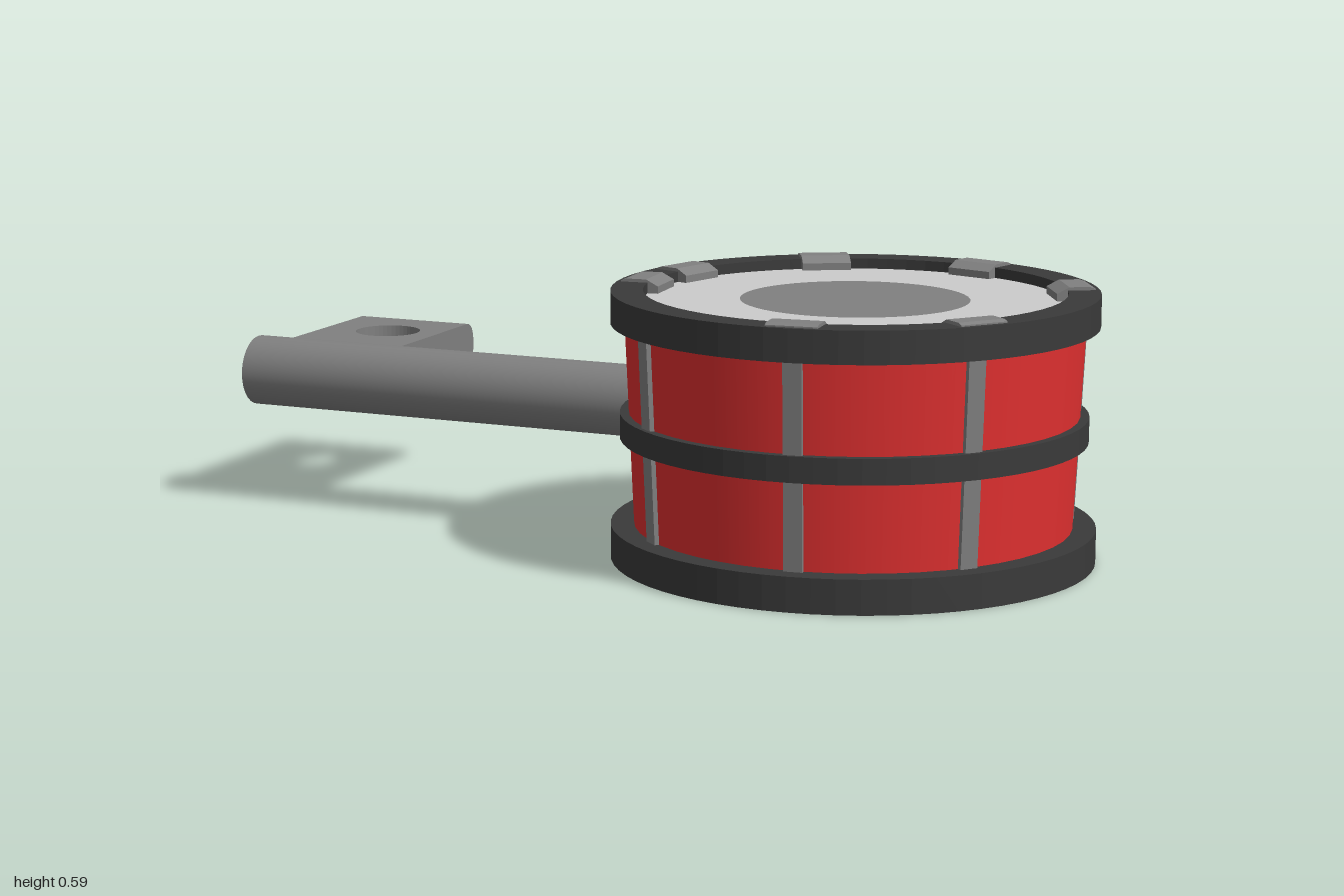
import * as THREE from 'three';

const mat = (color, extra = {}) => new THREE.MeshStandardMaterial({ color, ...extra });
const BLACK = mat(0x3a3a3a), RED = mat(0xe03030, { side: THREE.DoubleSide });
const STEEL = mat(0x808080), SKIN = mat(0xcccccc);
const rad = THREE.MathUtils.degToRad;

export function createModel() {
  const model = new THREE.Group();
  const drum = new THREE.Group();
  drum.name = 'drum';
  drum.position.x = 0.475;
  model.add(drum);

  const add = (parent, name, geometry, material, x = 0, y = 0, z = 0) => {
    const mesh = new THREE.Mesh(geometry, material);
    mesh.name = name;
    mesh.position.set(x, y, z);
    parent.add(mesh);
    return mesh;
  };

  // Flat ring with sharp edges, standing upright from y0 to y1
  const hoop = (name, inner, outer, y0, y1) => {
    const shape = new THREE.Shape().absarc(0, 0, outer, 0, Math.PI * 2);
    shape.holes.push(new THREE.Path().absarc(0, 0, inner, 0, Math.PI * 2, true));
    const geo = new THREE.ExtrudeGeometry(shape, { depth: y1 - y0, bevelEnabled: false, curveSegments: 32 });
    geo.rotateX(-Math.PI / 2);
    add(drum, name, geo, BLACK, 0, y0);
  };
  hoop('bottomHoop', 0.455, 0.525, 0, 0.075);
  hoop('middleBand', 0.47, 0.505, 0.265, 0.32);
  hoop('topHoop', 0.455, 0.525, 0.515, 0.585);

  // Tapered shell
  add(drum, 'shell', new THREE.CylinderGeometry(0.495, 0.474, 0.46, 48, 1, true), RED, 0, 0.295);

  // Heads
  const disc = (name, r, y, material, up) =>
    add(drum, name, new THREE.CircleGeometry(r, 48).rotateX(up * -Math.PI / 2), material, 0, y);
  disc('topHead', 0.46, 0.562, SKIN, 1);
  disc('headPatch', 0.247, 0.565, STEEL, 1);
  disc('bottomHead', 0.46, 0.06, STEEL, -1);

  // Tension rods leaning with the shell
  for (const a of [131, 84, 40, -29, -75, -119, -165]) {
    const rod = new THREE.Group();
    rod.name = 'tensionRod';
    rod.rotation.y = -rad(a);
    drum.add(rod);
    add(rod, 'rod', new THREE.BoxGeometry(0.024, 0.46, 0.04), STEEL, 0.482, 0.295).rotation.z = -0.046;
  }

  // Clips hooked over the top hoop: profile in radius and height
  const clipShape = new THREE.Shape([
    [0.512, 0.555], [0.512, 0.588], [0.5, 0.592], [0.455, 0.592], [0.428, 0.578], [0.428, 0.555],
  ].map(([r, y]) => new THREE.Vector2(r, y)));
  const clipGeo = new THREE.ExtrudeGeometry(clipShape, { depth: 0.11, bevelEnabled: false });
  clipGeo.translate(0, 0, -0.055);
  for (const a of [84, 39, -29, -74, -119, -163, 175]) {
    add(drum, 'hoopClip', clipGeo, STEEL).rotation.y = -rad(a);
  }

  // Round arm
  const arm = new THREE.CylinderGeometry(0.08, 0.08, 1.02, 32).rotateZ(Math.PI / 2);
  add(model, 'arm', arm, STEEL, -0.49, 0.303, 0.005);

  // Mounting plate with a bolt hole, drawn in x and -z
  const plate = new THREE.Shape([
    [-1, 0], [-0.71, 0], [-0.71, 0.49], [-1, 0.49],
  ].map(([x, z]) => new THREE.Vector2(x, z)));
  plate.holes.push(new THREE.Path().absarc(-0.84, 0.33, 0.077, 0, Math.PI * 2, true));
  const plateGeo = new THREE.ExtrudeGeometry(plate, { depth: 0.1, bevelEnabled: false, curveSegments: 24 });
  add(model, 'mountingPlate', plateGeo.rotateX(-Math.PI / 2), STEEL, 0, 0.253);

  // Rounded far edge of the plate
  const lip = new THREE.Shape();
  lip.moveTo(0.489, -0.05);
  lip.lineTo(0.495, -0.05);
  lip.quadraticCurveTo(0.525, -0.045, 0.525, 0);
  lip.quadraticCurveTo(0.525, 0.045, 0.495, 0.05);
  lip.lineTo(0.489, 0.05);
  const lipGeo = new THREE.ExtrudeGeometry(lip, { depth: 0.29, bevelEnabled: false, curveSegments: 8 });
  add(model, 'plateEdge', lipGeo.rotateY(Math.PI / 2), STEEL, -1, 0.303);

  return model;
}
